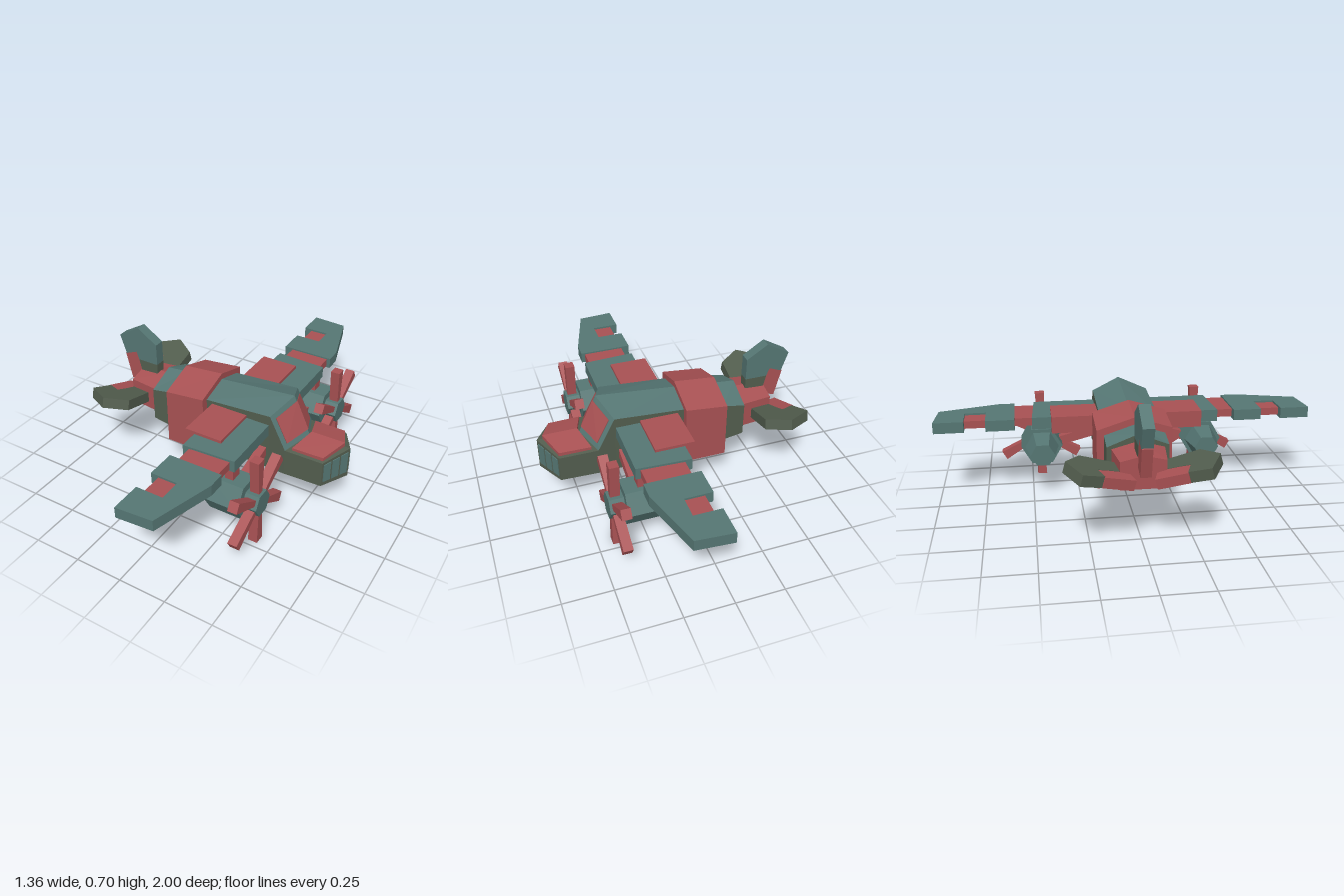
import * as THREE from 'three';
import { ConvexGeometry } from 'three/addons/geometries/ConvexGeometry.js';

const V = (x, y, z) => new THREE.Vector3(x, y, z);

export function createModel() {
  const model = new THREE.Group();
  const paint = (name, color) => {
    const m = new THREE.MeshStandardMaterial({ color });
    m.name = name;
    return m;
  };
  const teal = paint('teal', 0x557673);
  const red = paint('red', 0xa85153);
  const olive = paint('olive', 0x525d4e);

  const add = (name, geometry, material, parent = model) => {
    const mesh = new THREE.Mesh(geometry, material);
    mesh.name = name;
    parent.add(mesh);
    return mesh;
  };

  // Gabled section: [x at sides, x at centre, half width, bottom, shoulder, ridge]
  const ring = ([xs, xm, w, b, s, r]) => [
    V(xm, b, 0), V(xs, b, w), V(xs, s, w), V(xm, r, 0), V(xs, s, -w), V(xs, b, -w)];

  // Lofts two gabled sections; the roof can take its own colour
  function hull(name, back, front, sideMat, roofMat = sideMat) {
    const A = ring(back), B = ring(front), sides = [], roof = [];
    for (let i = 0; i < 6; i++) {
      const j = (i + 1) % 6;
      (i === 2 || i === 3 ? roof : sides).push(A[i], B[i], B[j], A[i], B[j], A[j]);
    }
    for (let i = 1; i < 5; i++) sides.push(A[0], A[i], A[i + 1], B[0], B[i + 1], B[i]);
    const geo = new THREE.BufferGeometry().setFromPoints([...sides, ...roof]);
    geo.addGroup(0, sides.length, 0);
    geo.addGroup(sides.length, roof.length, 1);
    geo.computeVertexNormals();
    return add(name, geo, [sideMat, roofMat]);
  }

  // Flat plate from an outline in x and z
  function slab(name, pts, y0, y1, mat, side = 1) {
    const shape = new THREE.Shape(pts.map(([x, z]) => new THREE.Vector2(x, z * side)));
    const geo = new THREE.ExtrudeGeometry(shape, { depth: y1 - y0, bevelEnabled: false });
    geo.rotateX(Math.PI / 2).translate(0, y1, 0);
    return add(name, geo, mat);
  }
  const rect = (x0, x1, z0, z1) => [[x0, z0], [x1, z0], [x1, z1], [x0, z1]];

  // Thin plate covering part of a four-cornered face
  function pane(name, [a, b, c, d], u0, u1, v0, v1, mat) {
    const n = b.clone().sub(a).cross(d.clone().sub(a)).normalize().multiplyScalar(0.004);
    const pts = [];
    for (const u of [u0, u1]) for (const v of [v0, v1]) {
      const p = a.clone().lerp(b, u).lerp(d.clone().lerp(c, u), v);
      pts.push(p.clone().add(n), p.clone().sub(n));
    }
    add(name, new ConvexGeometry(pts), mat);
  }

  // Fuselage
  const roofEnd = [0.31, 0.365, 0.15, 0.2, 0.515, 0.572];
  const deckStart = [0.40, 0.46, 0.153, 0.2, 0.345, 0.37];
  const noseTip = [0.6, 0.68, 0.145, 0.2, 0.34, 0.37];
  hull('tailCone', [-0.555, -0.555, 0.11, 0.29, 0.43, 0.455], [-0.385, -0.385, 0.13, 0.29, 0.43, 0.465], red);
  hull('rearFuselage', [-0.388, -0.388, 0.152, 0.26, 0.44, 0.5], [-0.27, -0.27, 0.152, 0.24, 0.46, 0.51], olive, teal);
  hull('bodyBand', [-0.275, -0.275, 0.188, 0.18, 0.485, 0.545], [-0.053, -0.053, 0.188, 0.18, 0.508, 0.566], red);
  hull('mainFuselage', [-0.06, -0.06, 0.15, 0.21, 0.49, 0.533], roofEnd, olive, teal);
  hull('cockpit', roofEnd, deckStart, olive, teal);
  hull('nose', deckStart, noseTip, olive);
  hull('noseDeck', [0.43, 0.47, 0.135, 0.3, 0.362, 0.393], [0.595, 0.65, 0.13, 0.3, 0.362, 0.393], red);

  // Windscreen and nose windows
  const top = ring(roofEnd), base = ring(deckStart), tip = ring(noseTip);
  for (const [s, name] of [[2, 'right'], [4, 'left']]) {
    pane(name + 'Windscreen', [top[s], top[3], base[3], base[s]], 0.16, 1, 0.14, 0.86, red);
    const low = s === 2 ? 1 : 5;
    for (let i = 0; i < 3; i++) {
      const u = 0.06 + i * 0.31;
      pane(name + 'NoseWindow', [tip[low], tip[0], tip[3], tip[s]], u, u + 0.25, 0.17, 0.9, teal);
    }
  }

  // Wings, nacelles and propellers
  for (const s of [1, -1]) {
    const side = s > 0 ? 'right' : 'left';
    slab(side + 'InnerWing', [[0.03, 0.12], [0.305, 0.12], [0.305, 0.48], [0.03, 0.495]], 0.4, 0.463, teal, s);
    slab(side + 'WingRoot', rect(-0.02, 0.18, 0.12, 0.395), 0.39, 0.478, red, s);
    slab(side + 'WingJoint', rect(0.065, 0.28, 0.46, 0.61), 0.41, 0.452, red, s);
    slab(side + 'OuterWing', [[0.02, 0.585], [0.3, 0.585], [0.3, 0.67], [0.208, 0.985], [0.02, 1],
      [0.02, 0.845], [0.16, 0.845], [0.16, 0.735], [0.02, 0.735]], 0.402, 0.46, teal, s);
    slab(side + 'Aileron', rect(0.06, 0.162, 0.73, 0.85), 0.41, 0.45, red, s);

    const engine = new THREE.Group();
    engine.name = side + 'Engine';
    engine.position.set(0, 0.246, s * 0.445);
    model.add(engine);

    // Six-sided sections pointing sideways
    const hex = (name, x0, x1, r0, r1) => {
      const geo = new THREE.CylinderGeometry(r1, r0, x1 - x0, 6).toNonIndexed();
      geo.computeVertexNormals();
      geo.rotateZ(-Math.PI / 2).translate((x0 + x1) / 2, 0, 0);
      add(name, geo, teal, engine);
    };
    hex('nacelleTail', 0.04, 0.185, 0.065, 0.092);
    hex('nacelle', 0.18, 0.365, 0.112, 0.112);
    hex('hub', 0.36, 0.44, 0.068, 0.068);

    // Blades widen towards the tip
    for (let i = 0; i < 6; i++) {
      const pts = [];
      for (const x of [0.378, 0.427]) for (const k of [-1, 1]) {
        pts.push(V(x, 0.04, k * 0.014), V(x, 0.244, k * 0.026));
      }
      add('blade', new ConvexGeometry(pts), red, engine).rotation.x = i * Math.PI / 3;
    }

    // Pylon to the wing and strut to the fuselage
    add('pylon', new THREE.BoxGeometry(0.045, 0.12, 0.06).translate(0.272, 0.14, 0), red, engine);
    const strut = [];
    for (const x of [0.25, 0.295]) for (const k of [-1, 1]) {
      strut.push(V(x, 0.3 + k * 0.026, s * 0.14), V(x, 0.235 + k * 0.026, s * 0.39));
    }
    add(side + 'Strut', new ConvexGeometry(strut), red);
  }

  // Tail: three matching fins around the tail cone
  function fin(name, angle, tipMat) {
    const group = new THREE.Group();
    group.name = name;
    group.position.y = 0.325;
    group.rotation.x = angle;
    model.add(group);
    const plate = (part, pts, t, mat) => {
      const shape = new THREE.Shape(pts.map(([x, y]) => new THREE.Vector2(x, y)));
      const geo = new THREE.ExtrudeGeometry(shape, { depth: 2 * t, bevelEnabled: false });
      add(part, geo.translate(0, 0, -t), mat, group);
    };
    plate('finTip', [[-0.683, 0.305], [-0.557, 0.378], [-0.445, 0.305], [-0.445, 0.185],
      [-0.565, 0.185], [-0.58, 0.228], [-0.648, 0.2]], 0.028, tipMat);
    plate('finBase', [[-0.445, 0.185], [-0.565, 0.185], [-0.535, 0.06], [-0.445, 0.06]], 0.028, olive);
    plate('finBrace', [[-0.655, 0.2], [-0.58, 0.228], [-0.53, 0.08], [-0.62, 0.05]], 0.026, red);
  }
  fin('verticalFin', 0, teal);
  fin('rightTailplane', 1.31, olive);
  fin('leftTailplane', -1.31, olive);

  return model;
}
